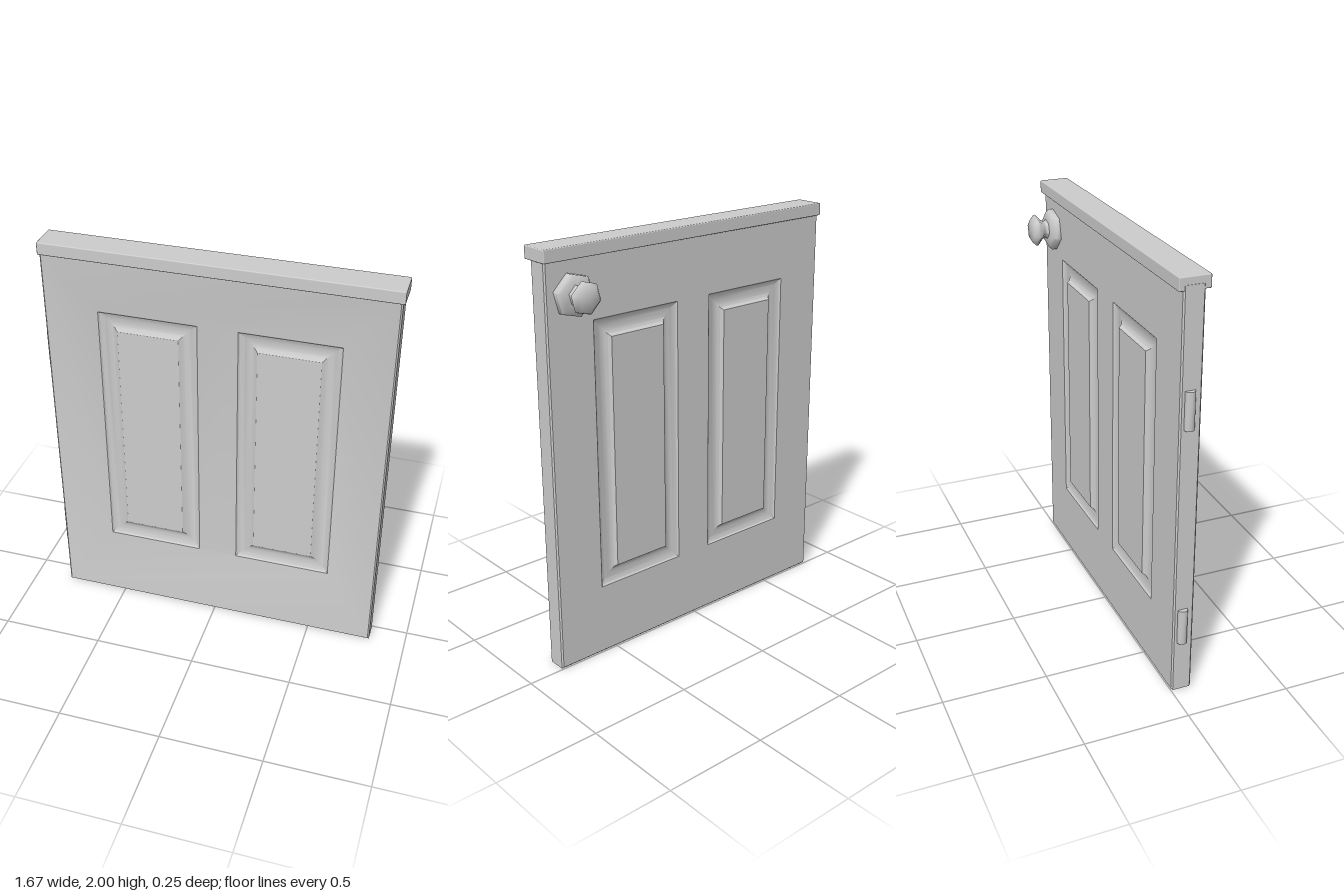
import * as THREE from 'three';
import { toCreasedNormals } from 'three/addons/utils/BufferGeometryUtils.js';
import { RoundedBoxGeometry } from 'three/addons/geometries/RoundedBoxGeometry.js';

const FRONT = 0.1, BACK = 0.002, BEVEL = 0.007;
const DISH = 0.042; // how far the front face sinks towards the panels
const PANEL = { w: 0.476, h: 1.306, y: 1.003, xs: [-0.329, 0.339] };

function rectangle(path, x0, y0, x1, y1) {
  path.moveTo(x0, y0);
  path.lineTo(x1, y0);
  path.lineTo(x1, y1);
  path.lineTo(x0, y1);
  path.closePath();
  return path;
}

// Mitred rectangular rings following [inset, depth] pairs, closed by a flat field
function panelGeometry(w, h, profile) {
  const pos = [], index = [];
  for (const [inset, z] of profile) {
    const x = w / 2 - inset, y = h / 2 - inset;
    pos.push(-x, -y, z, x, -y, z, x, y, z, -x, y, z);
  }
  const last = (profile.length - 1) * 4;
  for (let r = 0; r < last; r += 4) {
    for (let i = 0; i < 4; i++) {
      const j = (i + 1) % 4;
      index.push(r + i, r + j, r + 4 + j, r + i, r + 4 + j, r + 4 + i);
    }
  }
  index.push(last, last + 1, last + 2, last, last + 2, last + 3);
  const g = new THREE.BufferGeometry();
  g.setAttribute('position', new THREE.Float32BufferAttribute(pos, 3));
  g.setIndex(index);
  return toCreasedNormals(g, 0.4);
}

// Slab with two panel openings, eased edges and a slightly dished front
function slabGeometry() {
  const outline = rectangle(new THREE.Shape(), -0.813, 0, 0.82, 1.965);
  for (const x of PANEL.xs) {
    const w = PANEL.w / 2 - BEVEL, h = PANEL.h / 2 - BEVEL;
    outline.holes.push(rectangle(new THREE.Path(), x - w, PANEL.y - h, x + w, PANEL.y + h));
  }
  const g = new THREE.ExtrudeGeometry(outline, {
    depth: FRONT - BACK - 2 * BEVEL, bevelEnabled: true, bevelSegments: 1,
    bevelSize: BEVEL, bevelThickness: BEVEL, bevelOffset: -BEVEL,
  });
  g.translate(0, 0, BACK + BEVEL);
  const p = g.attributes.position;
  for (let i = 0; i < p.count; i++) {
    const onOpening = Math.abs(p.getX(i)) < 0.7 && Math.abs(p.getY(i) - PANEL.y) < 0.7;
    if (onOpening && p.getZ(i) > FRONT / 2) p.setZ(i, p.getZ(i) - DISH);
  }
  return toCreasedNormals(g, 0.4);
}

export function createModel() {
  const model = new THREE.Group();
  model.name = 'halfDoor';
  const mat = new THREE.MeshStandardMaterial({ color: 0xcccccc });
  const add = (name, geometry, x = 0, y = 0, z = 0) => {
    const mesh = new THREE.Mesh(geometry, mat);
    mesh.name = name;
    mesh.position.set(x, y, z);
    model.add(mesh);
    return mesh;
  };

  add('doorSlab', slabGeometry());

  // Coved, raised panels on both faces
  const cove = field => [
    [BEVEL, -BEVEL], [0.028, -0.015], [0.048, -0.018], [0.066, -0.015], [0.08, -0.007], [0.09, field],
  ];
  for (const x of PANEL.xs) {
    add('frontPanel', panelGeometry(PANEL.w, PANEL.h, cove(0)), x, PANEL.y, FRONT - DISH);
    add('backPanel', panelGeometry(PANEL.w, PANEL.h, cove(0.008)), x, PANEL.y, BACK).rotation.y = Math.PI;
  }

  // Top ledge
  add('topLedge', new RoundedBoxGeometry(1.643, 0.06, 0.144, 2, 0.005), 0.0105, 1.97, 0.054);

  // Hinge barrels on the side edge
  for (const y of [0.352, 1.424]) {
    add('hinge', toCreasedNormals(new THREE.CylinderGeometry(0.025, 0.025, 0.178, 8), 0.9), -0.811, y, 0.046);
  }

  // Six-sided knob with its base plate on the back
  const turned = points => toCreasedNormals(
    new THREE.LatheGeometry(points.map(([r, y]) => new THREE.Vector2(r, y)), 6, Math.PI / 12), 1.1);
  const plate = turned([[0, -0.01], [0.1, -0.01], [0.1, 0.025], [0.085, 0.04], [0.04, 0.045], [0, 0.045]]);
  const knob = turned([[0.055, 0.035], [0.04, 0.055], [0.045, 0.068], [0.077, 0.097], [0.074, 0.108], [0.056, 0.125], [0, 0.127]]);
  add('knobPlate', plate, 0.683, 1.786, BACK).rotation.x = -Math.PI / 2;
  add('knob', knob, 0.683, 1.79, BACK).rotation.x = -Math.PI / 2;

  return model;
}
